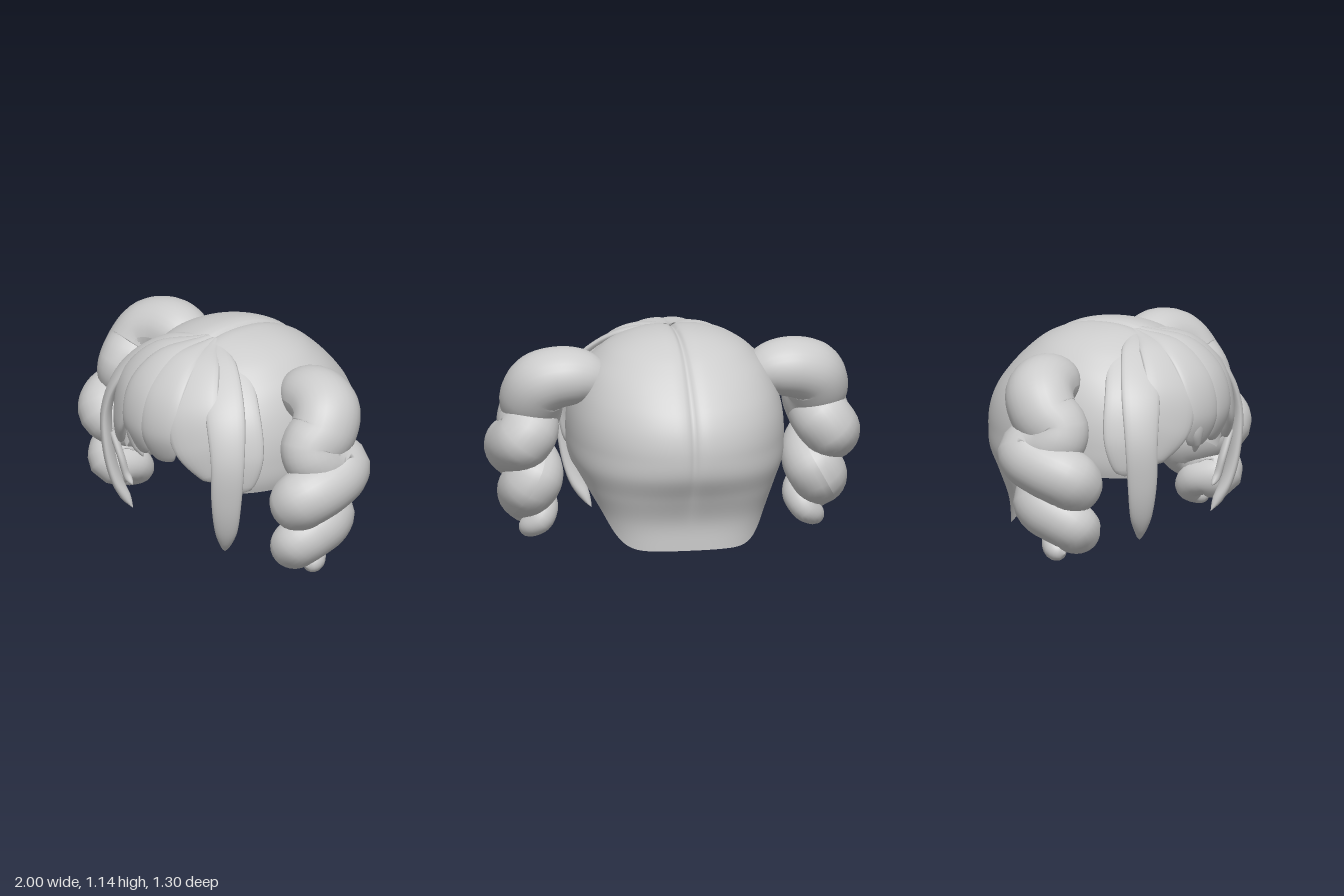
import * as THREE from 'three';

const TAU = Math.PI * 2;
const V = (p) => new THREE.Vector3(...p);
const { clamp, smoothstep } = THREE.MathUtils;

// Smooth value of an evenly spaced list at u in 0..1
function sample(list, u) {
  const f = clamp(u, 0, 1) * (list.length - 1);
  const i = Math.min(Math.floor(f), list.length - 2), t = f - i;
  const g = (k) => list[clamp(k, 0, list.length - 1)];
  const a = (g(i + 1) - g(i - 1)) / 2, b = (g(i + 2) - g(i)) / 2, d = g(i + 1) - g(i);
  return g(i) + t * (a + t * (3 * d - 2 * a - b + t * (a + b - 2 * d)));
}

// Skin of rows by columns, closed around; fn(u, angle) gives a point
function skin(rows, cols, fn) {
  const pos = [], idx = [];
  for (let i = 0; i <= rows; i++) {
    for (let j = 0; j < cols; j++) pos.push(...fn(i / rows, (j / cols) * TAU).toArray());
  }
  for (let i = 0; i < rows; i++) {
    for (let j = 0; j < cols; j++) {
      const a = i * cols + j, b = i * cols + (j + 1) % cols;
      idx.push(a, a + cols, b, b, a + cols, b + cols);
    }
  }
  const geo = new THREE.BufferGeometry();
  geo.setAttribute('position', new THREE.Float32BufferAttribute(pos, 3));
  geo.setIndex(idx);
  geo.computeVertexNormals();
  return geo;
}

// Flattened lock of hair lying on the head along a path
function lockGeometry(points, widths, thick) {
  const curve = new THREE.CatmullRomCurve3(points.map(V));
  const centre = new THREE.Vector3(0, 0.5, 0);
  return skin(40, 20, (u, a) => {
    const p = curve.getPoint(u), t = curve.getTangent(u);
    const n = p.clone().sub(centre).setY((p.y - 0.5) * 0.8);
    n.addScaledVector(t, -n.dot(t)).normalize();
    const across = n.clone().cross(t);
    const end = Math.sqrt(Math.max(0, 1 - u ** 20));
    const w = Math.max(0.004, sample(widths, u)) * end;
    return p.addScaledVector(across, Math.sin(a) * w)
      .addScaledVector(n, Math.cos(a) * Math.min(thick, w) * end);
  });
}

// Cap: half sizes to the back, side and front, from crown to nape
const BACK = [0, 0.1, 0.19, 0.27, 0.345, 0.41, 0.475, 0.54, 0.6, 0.64, 0.655, 0.64, 0.57, 0.51, 0.5];
const SIDE = [0, 0.1, 0.2, 0.285, 0.36, 0.42, 0.475, 0.515, 0.545, 0.565, 0.57, 0.56, 0.51, 0.46, 0.44];
const FRONT = [0, 0.09, 0.17, 0.24, 0.31, 0.37, 0.43, 0.485, 0.53, 0.55, 0.56, 0.54, 0.5, 0.47, 0.45];
function capGeometry() {
  return skin(80, 300, (u, a) => {
    const s = Math.sin(a), c = Math.cos(a);
    // Hem drops to the nape and rises behind the fringe
    const back = Math.max(0, -c) ** 0.7;
    const hem = 0.41 - 0.37 * smoothstep(back, 0.1, 0.95) + 0.4 * smoothstep(c, 0.72, 0.92);
    const d = u * Math.sqrt(1.14 - hem);
    const k = d / 1.05;
    // Plan is squarer towards the front and around the nape
    const e = c > 0 ? 1 - 0.28 * k : 0.92 - 0.22 * smoothstep(k, 0.72, 0.95);
    const bow = (v) => Math.sign(v) * Math.abs(v) ** e;
    const p = new THREE.Vector3(bow(s) * sample(SIDE, k), 1.14 - d * d, bow(c) * sample(c > 0 ? FRONT : BACK, k));
    // Centre parting groove
    const groove = 0.022 * Math.exp(-((p.x / 0.015) ** 2)) + 0.018 * Math.exp(-((p.x / 0.05) ** 2));
    const m = 1 - groove * smoothstep(p.y, 0.15, 0.6);
    return p.set(p.x, 0.5 + (p.y - 0.5) * m, p.z * m);
  });
}

// Ponytail: arches out of the head, then winds down in a tapering curl
function ponytailGeometry(side) {
  const pts = [[0.4, 0.85, -0.06], [0.52, 0.9, -0.06], [0.64, 0.9, -0.05], [0.73, 0.86, -0.02],
    [0.762, 0.78, 0.03], [0.755, 0.71, 0.09]];
  for (let i = -4; i <= 10; i++) {
    const th = (i / 8) * TAU, f = clamp(i / 8, 0, 1);
    pts.push([
      0.81 - 0.06 * f + 0.035 * Math.cos(th),
      0.51 - 0.0335 * i,
      0.085 + 0.045 * f + (0.12 - 0.04 * f) * Math.sin(th),
    ]);
  }
  pts.push([0.7, 0.15, 0.13], [0.71, 0.1, 0.08], [0.76, 0.055, 0.1], [0.77, 0.04, 0.16]);
  const curve = new THREE.CatmullRomCurve3(pts.map(([x, y, z]) => V([x * side, y, z])));
  const rows = 150, cols = 28;
  const radii = [0.11, 0.15, 0.165, 0.17, 0.165, 0.16, 0.155, 0.16, 0.155, 0.155, 0.145, 0.125, 0.08, 0.065];
  const geo = new THREE.TubeGeometry(curve, rows, 1, cols, false);
  const pos = geo.attributes.position, v = new THREE.Vector3();
  for (let i = 0; i <= rows; i++) {
    const c = curve.getPointAt(i / rows);
    const r = sample(radii, i / rows) * Math.sqrt(Math.max(0, 1 - (i / rows) ** 40));
    for (let j = 0; j <= cols; j++) {
      const k = i * (cols + 1) + j;
      v.fromBufferAttribute(pos, k).sub(c).multiplyScalar(r);
      v.z *= 1.1;
      v.add(c);
      pos.setXYZ(k, v.x, Math.max(0, v.y), v.z);
    }
  }
  geo.computeVertexNormals();
  return geo;
}

// Locks for one side: name, path, half widths, half thickness
const LOCKS = [
  ['centreFringe', [[0.02, 1.085, 0.16], [0.05, 1.045, 0.41], [0.085, 0.9, 0.565], [0.095, 0.71, 0.615], [0.095, 0.53, 0.56]],
    [0.03, 0.1, 0.125, 0.115, 0.095], 0.032],
  ['sideFringe', [[0.03, 1.085, 0.16], [0.15, 1.03, 0.38], [0.26, 0.87, 0.51], [0.32, 0.68, 0.53], [0.37, 0.48, 0.48]],
    [0.03, 0.12, 0.145, 0.135, 0.05], 0.032],
  ['longLock', [[0.04, 1.085, 0.15], [0.22, 1.03, 0.3], [0.42, 0.86, 0.42], [0.5, 0.64, 0.47], [0.49, 0.4, 0.47], [0.45, 0.21, 0.44], [0.38, 0.065, 0.39]],
    [0.03, 0.1, 0.105, 0.09, 0.08, 0.06, 0.022], 0.03],
  ['longLockWisp', [[0.47, 0.5, 0.46], [0.42, 0.36, 0.44], [0.4, 0.26, 0.42], [0.36, 0.21, 0.41]],
    [0.03, 0.035, 0.025, 0.012], 0.02],
  ['templeLock', [[0.08, 1.08, 0.12], [0.29, 1.0, 0.24], [0.445, 0.84, 0.33], [0.51, 0.64, 0.36], [0.5, 0.43, 0.37]],
    [0.03, 0.08, 0.1, 0.1, 0.07], 0.025],
];

export function createModel() {
  const hair = new THREE.MeshStandardMaterial({ color: 0xcccccc, side: THREE.DoubleSide });
  hair.name = 'hairGrey';
  const model = new THREE.Group();
  model.name = 'wig';
  const add = (name, geo) => {
    const mesh = new THREE.Mesh(geo, hair);
    mesh.name = name;
    model.add(mesh);
  };

  add('cap', capGeometry());
  for (const side of [1, -1]) {
    const tag = side > 0 ? 'Left' : 'Right';
    add('ponytail' + tag, ponytailGeometry(side));
    for (const [name, path, widths, thick] of LOCKS) {
      add(name + tag, lockGeometry(path.map(([x, y, z]) => [x * side, y, z]), widths, thick));
    }
  }
  // Loose strand hanging at the fringe's right of centre
  add('fringeWisp', lockGeometry([[-0.13, 0.72, 0.61], [-0.13, 0.62, 0.6], [-0.09, 0.5, 0.56]], [0.04, 0.04, 0.012], 0.025));
  return model;
}
